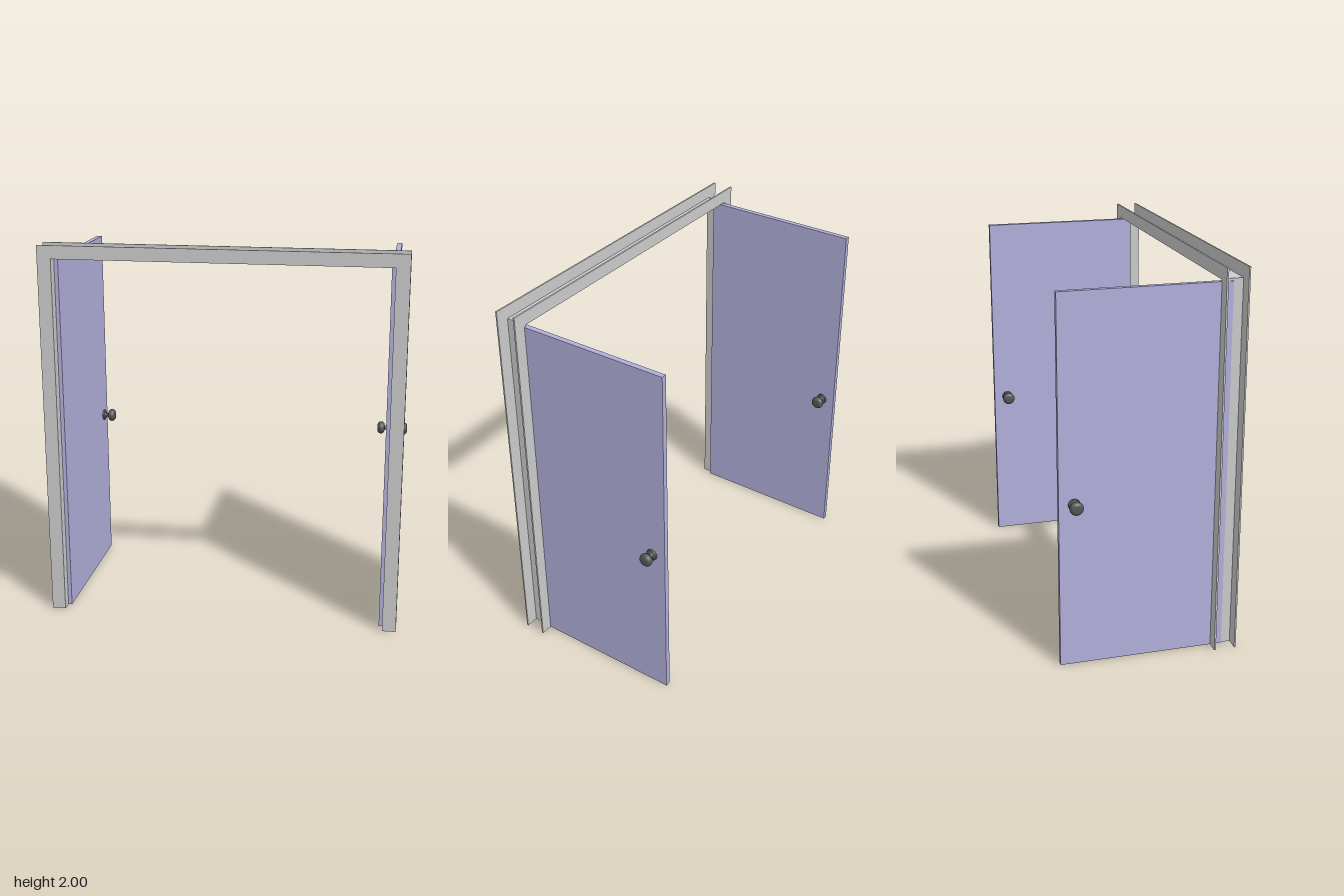
import * as THREE from 'three';

const frameMat = new THREE.MeshStandardMaterial({ color: 0xcccccc, side: THREE.DoubleSide });
const doorMat = new THREE.MeshStandardMaterial({ color: 0xb2b0dc });
const knobMat = new THREE.MeshStandardMaterial({ color: 0x555555 });

// Upside-down U, extruded from z0 to z1
function archway(name, outer, inner, top, lintel, z0, z1) {
  const shape = new THREE.Shape([
    [-outer, 0], [-inner, 0], [-inner, lintel], [inner, lintel],
    [inner, 0], [outer, 0], [outer, top], [-outer, top],
  ].map(([x, y]) => new THREE.Vector2(x, y)));
  const geo = new THREE.ExtrudeGeometry(shape, { depth: z1 - z0, bevelEnabled: false });
  const mesh = new THREE.Mesh(geo, frameMat);
  mesh.name = name;
  mesh.position.z = z0;
  return mesh;
}

// Rose, stem and rounded grip turned around one axis, starting at the door face
function knobGeometry() {
  const profile = [new THREE.Vector2(0.03, 0), new THREE.Vector2(0.03, 0.007),
    new THREE.Vector2(0.027, 0.01), new THREE.Vector2(0.011, 0.01), new THREE.Vector2(0.011, 0.031)];
  const steps = 12;
  for (let i = 0; i <= steps; i++) {
    const a = -Math.PI / 2 + (i / steps) * Math.PI;
    const r = 0.016 + 0.019 * Math.cos(a);
    profile.push(new THREE.Vector2(r, 0.05 + 0.02 * Math.sin(a)));
  }
  profile.push(new THREE.Vector2(0, 0.071));
  return new THREE.LatheGeometry(profile, 32);
}

export function createModel() {
  const model = new THREE.Group();
  model.name = 'doubleDoor';

  // Frame: two thin casings joined by the jamb lining
  model.add(archway('frontCasing', 0.938, 0.866, 2, 1.931, 0.449, 0.457));
  model.add(archway('backCasing', 0.938, 0.866, 2, 1.931, 0.34, 0.349));
  model.add(archway('jambLining', 0.869, 0.866, 1.934, 1.931, 0.349, 0.449));

  // Two door leaves standing open towards the back
  const leafGeo = new THREE.BoxGeometry(0.028, 1.922, 0.857);
  const knobGeo = knobGeometry();
  for (const [side, label] of [[1, 'left'], [-1, 'right']]) {
    const door = new THREE.Group();
    door.name = label + 'Door';
    door.position.x = side * 0.86;

    const leaf = new THREE.Mesh(leafGeo, doorMat);
    leaf.name = label + 'Leaf';
    leaf.position.set(0, 0.961, -0.0285);
    door.add(leaf);

    // A knob on each face
    for (const face of [1, -1]) {
      const knob = new THREE.Mesh(knobGeo, knobMat);
      knob.name = label + (face === side ? 'OuterKnob' : 'InnerKnob');
      knob.rotation.z = -face * Math.PI / 2;
      knob.position.set(face * 0.014, 0.87, -0.38);
      door.add(knob);
    }
    model.add(door);
  }
  return model;
}
